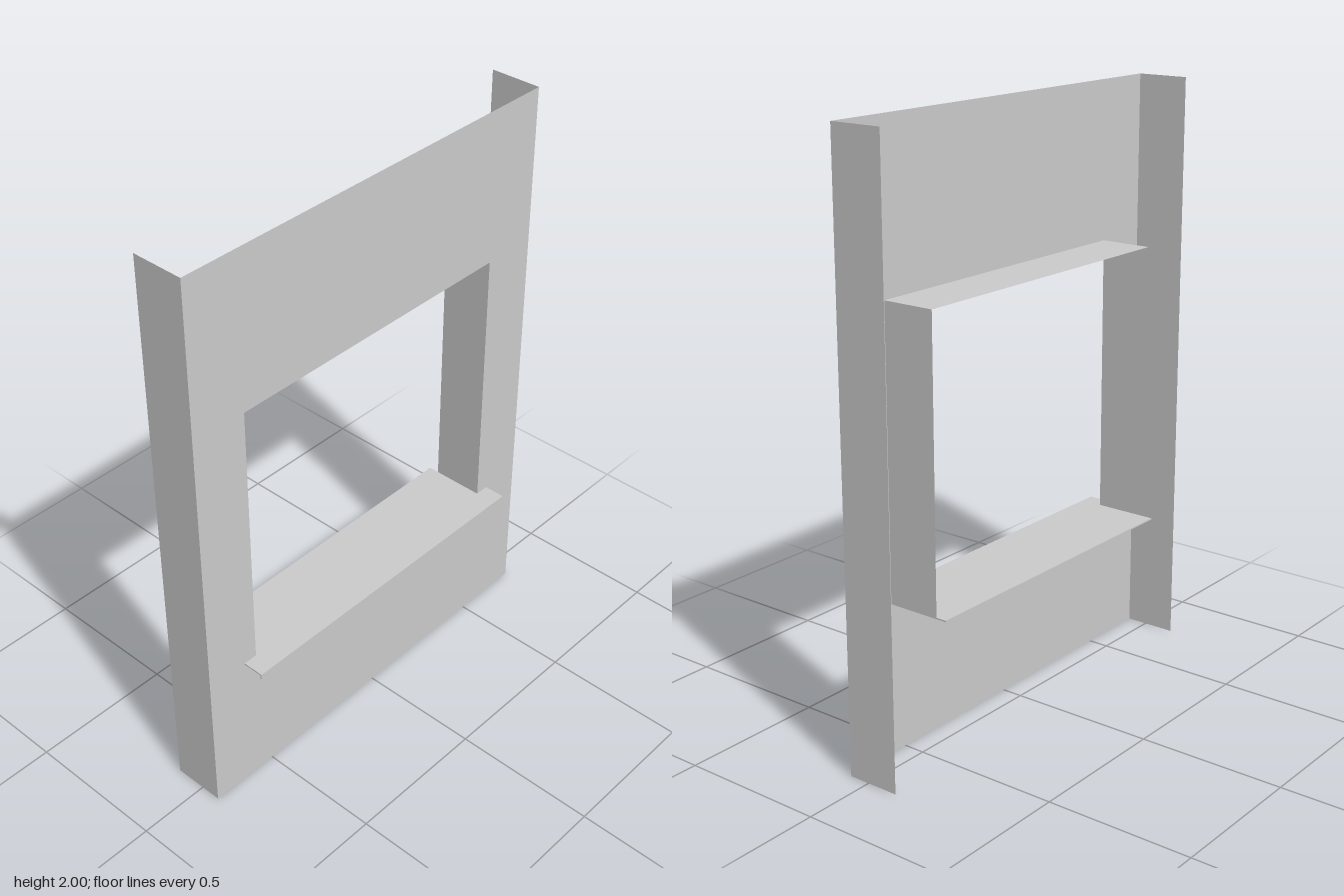
import * as THREE from 'three';

const W = 0.75, H = 2, FRONT = 0.072, BACK = -0.11; // panel extents
const HX = 0.55, Y0 = 0.505, Y1 = 1.46; // window opening
const SILL_X = 0.6, SILL_FRONT = 0.147, SILL_BACK = -0.147, T = 0.005;

export function createModel() {
  const group = new THREE.Group();
  const material = new THREE.MeshStandardMaterial({ color: 0xcccccc, side: THREE.DoubleSide });
  const depth = FRONT - BACK, midZ = (FRONT + BACK) / 2;

  function add(name, geometry) {
    const mesh = new THREE.Mesh(geometry, material);
    mesh.name = name;
    group.add(mesh);
    return mesh;
  }
  const polygon = (pts) => new THREE.Shape(pts.map(([x, y]) => new THREE.Vector2(x, y)));

  // Front sheet with the window opening cut out
  const face = polygon([[-W, 0], [W, 0], [W, H], [-W, H]]);
  face.holes.push(polygon([[-HX, Y0], [-HX, Y1], [HX, Y1], [HX, Y0]]));
  add('facePanel', new THREE.ShapeGeometry(face)).position.z = FRONT;

  // Edge returns and window jambs, mirrored left and right
  for (const s of [-1, 1]) {
    const side = s > 0 ? 'left' : 'right';
    const edge = new THREE.PlaneGeometry(depth, H).rotateY(s * Math.PI / 2);
    add(side + 'Return', edge).position.set(s * W, H / 2, midZ);
    const jamb = new THREE.PlaneGeometry(depth, Y1 - Y0).rotateY(s * Math.PI / 2);
    add(side + 'Jamb', jamb).position.set(s * HX, (Y0 + Y1) / 2, midZ);
  }

  // Top of the window reveal
  const head = new THREE.PlaneGeometry(2 * HX, depth).rotateX(-Math.PI / 2);
  add('windowHead', head).position.set(0, Y1, midZ);

  // Sill: a thin sheet, wider in front of the wall
  const sill = polygon([
    [-SILL_X, -SILL_FRONT], [SILL_X, -SILL_FRONT], [SILL_X, -FRONT], [HX, -FRONT],
    [HX, -SILL_BACK], [-HX, -SILL_BACK], [-HX, -FRONT], [-SILL_X, -FRONT],
  ]);
  const sillSheet = new THREE.ExtrudeGeometry(sill, { depth: T, bevelEnabled: false });
  add('sill', sillSheet.rotateX(-Math.PI / 2)).position.y = Y0 - T / 2;

  // Drip edge folded down along the front of the sill
  const lip = add('sillDripEdge', new THREE.BoxGeometry(2 * SILL_X, 0.015, T));
  lip.position.set(0, Y0 - T / 2 - 0.0075, SILL_FRONT - T / 2);

  return group;
}
